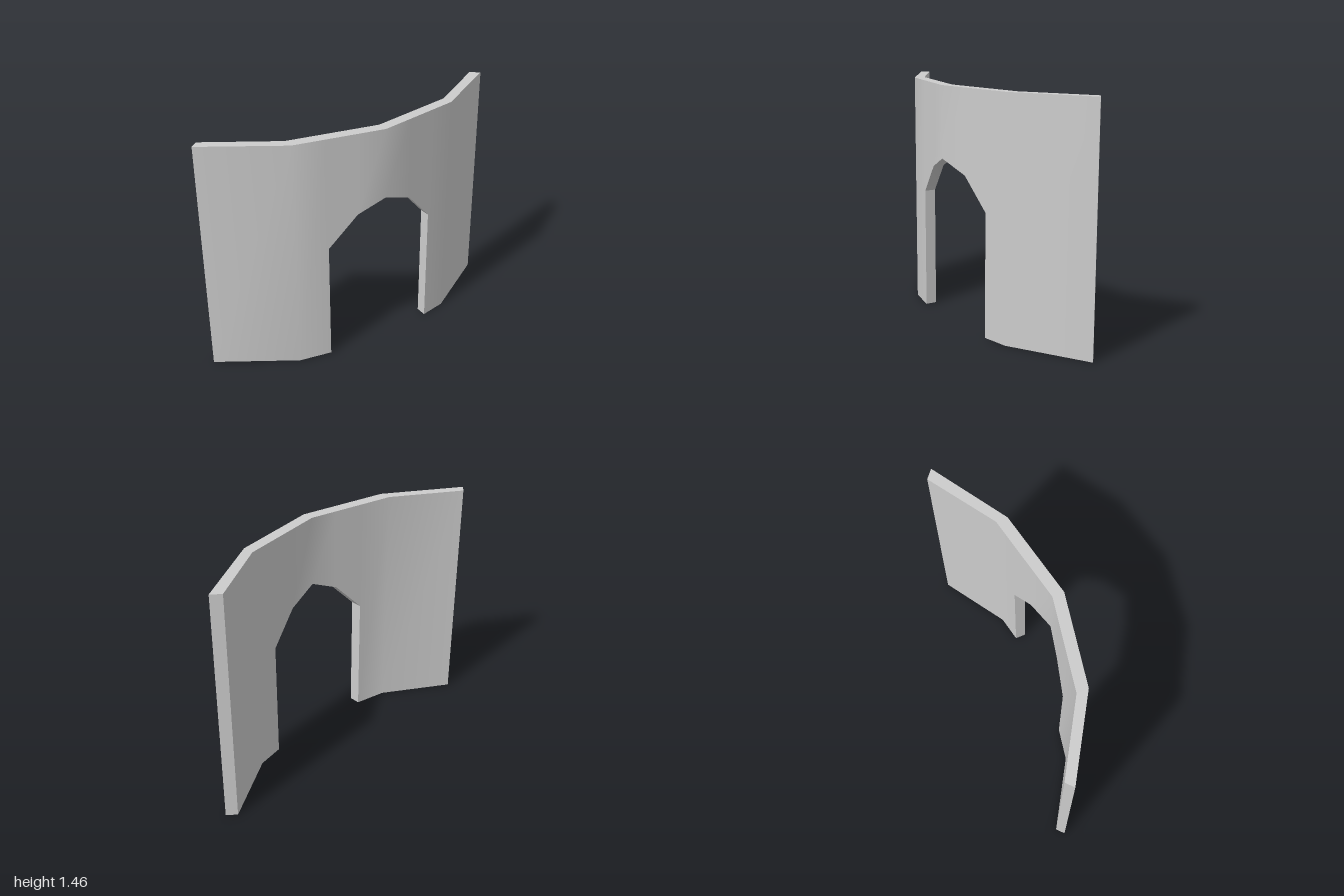
import * as THREE from 'three';
import { toCreasedNormals } from 'three/addons/utils/BufferGeometryUtils.js';

const TOP = 1.455;

// Plan of the folded wall: front [x, z] and back [x, z] at each fold
const FRONT = [[-1, -0.17], [-0.55, 0.11], [0, 0.215], [0.54, 0.11], [1, -0.17]];
const BACK = [[-0.955, -0.21], [-0.55, 0.04], [0, 0.145], [0.54, 0.04], [0.945, -0.215]];

// Underside along the wall: [x, height]; the doubled x are the door jambs
const UNDERSIDE = [
  [-1, 0], [-0.55, 0], [-0.35, 0],
  [-0.35, 0.755], [-0.17, 0.945], [0, 1.02], [0.2, 0.945], [0.375, 0.755],
  [0.375, 0], [0.54, 0], [1, 0],
];

// Point on the front and back plan lines at station x
function planAt(x) {
  let i = 0;
  while (i < FRONT.length - 2 && x > FRONT[i + 1][0]) i++;
  const t = (x - FRONT[i][0]) / (FRONT[i + 1][0] - FRONT[i][0]);
  const mix = (line) => [0, 1].map((k) => THREE.MathUtils.lerp(line[i][k], line[i + 1][k], t));
  const f = mix(FRONT);
  // Inside the folds the thickness runs straight along z
  const b = Math.abs(x) < 0.54 ? [x, f[1] - 0.07] : mix(BACK);
  return { f, b };
}

function wallGeometry() {
  const pos = [];
  const quad = (a, b, c, d) => pos.push(...a, ...b, ...c, ...a, ...c, ...d);
  const at = ([x, z], y) => [x, y, z];

  const columns = UNDERSIDE.map(([x, y]) => {
    const { f, b } = planAt(x);
    return { x, y, fb: at(f, y), bb: at(b, y), ft: at(f, TOP), bt: at(b, TOP) };
  });

  for (let i = 0; i < columns.length - 1; i++) {
    const p = columns[i], q = columns[i + 1];
    quad(p.bb, q.bb, q.fb, p.fb); // underside, jamb or arch soffit
    if (p.x === q.x) continue;
    quad(p.fb, q.fb, q.ft, p.ft); // front
    quad(q.bb, p.bb, p.bt, q.bt); // back
    quad(p.ft, q.ft, q.bt, p.bt); // top
  }

  // Outer ends
  const l = columns[0], r = columns[columns.length - 1];
  quad(l.bb, l.fb, l.ft, l.bt);
  quad(r.fb, r.bb, r.bt, r.ft);

  const geometry = new THREE.BufferGeometry();
  geometry.setAttribute('position', new THREE.Float32BufferAttribute(pos, 3));
  return toCreasedNormals(geometry, THREE.MathUtils.degToRad(30));
}

export function createModel() {
  const group = new THREE.Group();
  group.name = 'archedWall';
  const wall = new THREE.Mesh(wallGeometry(), new THREE.MeshStandardMaterial({ color: 0xcccccc }));
  wall.name = 'wallWithDoorway';
  group.add(wall);
  return group;
}
